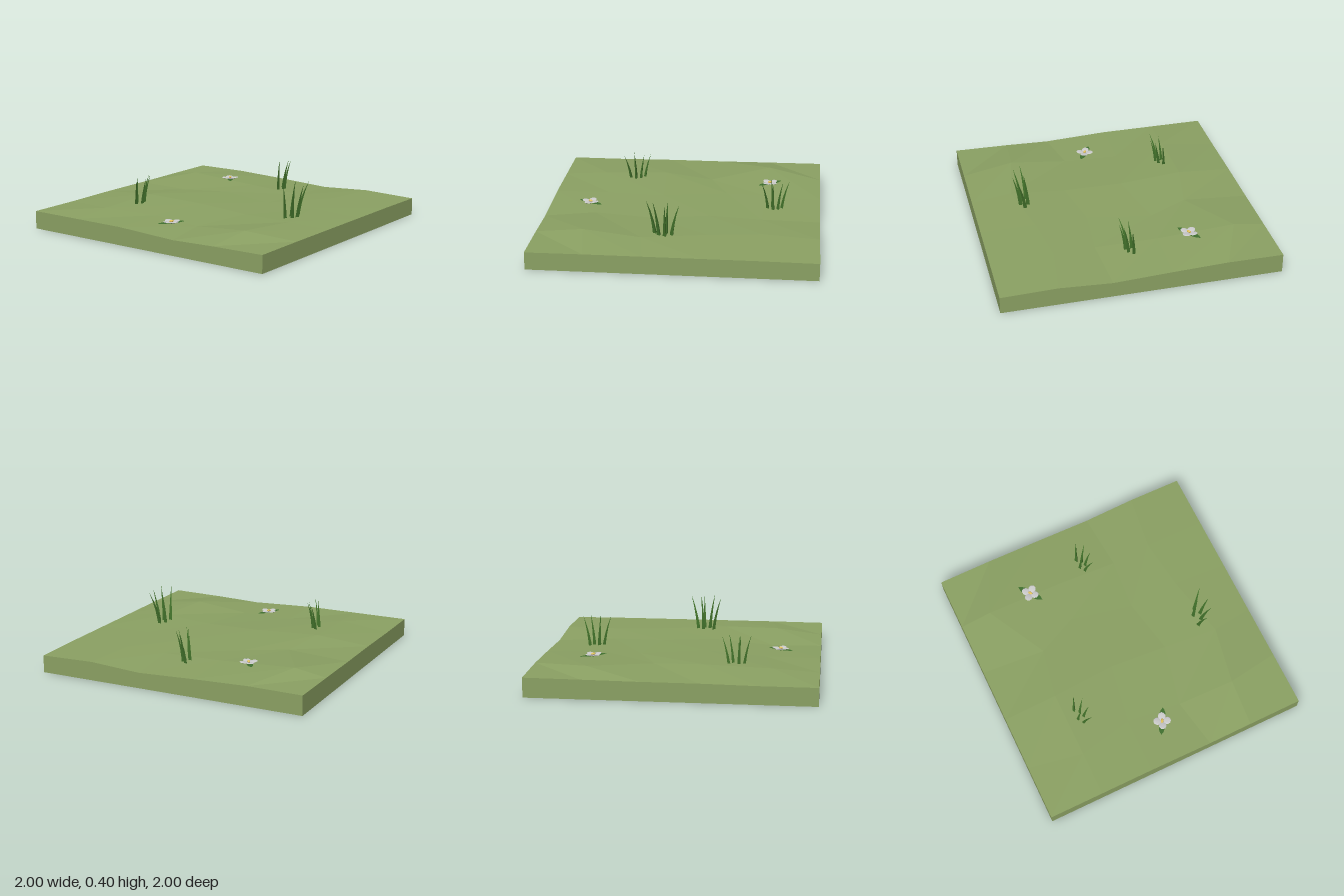
import * as THREE from 'three';

const material = (color) => new THREE.MeshStandardMaterial({
  color, flatShading: true, side: THREE.DoubleSide,
});
const turf = material(0x8ba163), grass = material(0x41702a), leafGreen = material(0x41702f);
const petalGrey = material(0xcccccc), yolk = material(0xe3c35c);

// Jittered 6 x 6 ground grid, rows running back to front: [x, z, height]
const GROUND = [
  [[-1, -1, .14], [-.6, -1, .143], [-.2, -1, .13], [.22, -1, .112], [.6, -1, .135], [1, -1, .125]],
  [[-1, -.6, .138], [-.77, -.6, .175], [-.2, -.6, .145], [.25, -.58, .13], [.55, -.6, .14], [1, -.6, .128]],
  [[-1, -.2, .135], [-.53, -.16, .145], [-.24, -.3, .14], [.22, -.2, .135], [.6, -.22, .14], [1, -.2, .128]],
  [[-1, .2, .135], [-.6, .2, .165], [-.13, .17, .15], [.3, .2, .135], [.7, .24, .145], [1, .2, .128]],
  [[-1, .6, .13], [-.6, .68, .15], [-.2, .6, .135], [.2, .64, .122], [.62, .66, .158], [1, .6, .128]],
  [[-1, 1, .13], [-.6, 1, .13], [-.2, 1, .13], [.27, 1, .11], [.6, 1, .12], [1, 1, .126]],
];

// Flat-faceted ground with straight walls, open underneath
function makeGround() {
  const n = GROUND.length, pos = [], idx = [];
  GROUND.flat().forEach(([x, z, y]) => pos.push(x, y, z));
  for (let r = 0; r < n - 1; r++) {
    for (let c = 0; c < n - 1; c++) {
      const a = r * n + c, b = a + 1, d = a + n, e = d + 1;
      idx.push(a, d, b, b, d, e);
    }
  }
  // Walk the rim counter-clockwise seen from above, dropping each point to y = 0
  const rim = [], m = n - 1;
  for (let i = 0; i < m; i++) rim.push(i * n);
  for (let i = 0; i < m; i++) rim.push(m * n + i);
  for (let i = m; i > 0; i--) rim.push(i * n + m);
  for (let i = m; i > 0; i--) rim.push(i);
  const base = n * n;
  rim.forEach((v) => pos.push(pos[v * 3], 0, pos[v * 3 + 2]));
  rim.forEach((v, i) => {
    const j = (i + 1) % rim.length;
    idx.push(v, base + i, rim[j], rim[j], base + i, base + j);
  });
  const g = new THREE.BufferGeometry();
  g.setAttribute('position', new THREE.Float32BufferAttribute(pos, 3));
  g.setIndex(idx);
  g.computeVertexNormals();
  const mesh = new THREE.Mesh(g, turf);
  mesh.name = 'ground';
  return mesh;
}

// Three-sided blade that tapers and bends from its base to its tip
function makeBlade([bx, bz, tx, tz, height]) {
  const g = new THREE.CylinderGeometry(1, 1, 1, 3, 5, true);
  const p = g.attributes.position;
  for (let i = 0; i < p.count; i++) {
    const t = p.getY(i) + 0.5, bend = t * t;
    const r = 0.016 * (1 - t ** 1.6) + 0.0005;
    p.setXYZ(i,
      p.getX(i) * r + bx + (tx - bx) * bend,
      height * t,
      p.getZ(i) * r + bz + (tz - bz) * bend);
  }
  g.computeVertexNormals();
  const mesh = new THREE.Mesh(g, grass);
  mesh.name = 'blade';
  return mesh;
}

// Base x, z, tip x, z and height of each blade in a tuft
const BLADES = [
  [-.03, -.045, -.005, -.1, .315],
  [0, -.02, .045, -.055, .325],
  [.012, .012, .062, .015, .31],
  [-.01, .045, .045, .1, .315],
  [-.03, .015, -.005, .03, .325],
];

function makeTuft(x, z, scale, flip, y) {
  const tuft = new THREE.Group();
  tuft.name = 'grassTuft';
  BLADES.forEach(([bx, bz, tx, tz, h]) =>
    tuft.add(makeBlade([bx, bz * flip, tx, tz * flip, h])));
  tuft.scale.setScalar(scale);
  tuft.position.set(x, y, z);
  return tuft;
}

// Pointed leaf running along +x, folded slightly up toward its tip
function leafGeometry() {
  const s = new THREE.Shape();
  s.moveTo(0, 0);
  s.quadraticCurveTo(.045, .045, .105, 0);
  s.quadraticCurveTo(.045, -.045, 0, 0);
  const g = new THREE.ShapeGeometry(s, 5).rotateX(-Math.PI / 2);
  const p = g.attributes.position;
  for (let i = 0; i < p.count; i++) p.setY(i, 0.06 * p.getX(i) + 0.15 * Math.abs(p.getZ(i)));
  g.computeVertexNormals();
  return g;
}

// Low flower: stem, two opposite leaves, four round petals and a centre
function makeFlower(x, y, z, angle) {
  const flower = new THREE.Group();
  flower.name = 'flower';
  const add = (name, geo, mat, px, py, pz, ry = 0) => {
    const mesh = new THREE.Mesh(geo, mat);
    mesh.name = name;
    mesh.position.set(px, py, pz);
    mesh.rotation.y = ry;
    flower.add(mesh);
    return mesh;
  };
  add('stem', new THREE.CylinderGeometry(.005, .005, .05, 5), leafGreen, 0, -.012, 0);
  const leaf = leafGeometry();
  for (let i = 0; i < 2; i++) add('leaf', leaf, leafGreen, 0, .004, 0, i * Math.PI);
  const petal = new THREE.SphereGeometry(.03, 10, 6).scale(1.05, .15, .95);
  for (let i = 0; i < 4; i++) {
    const a = i * Math.PI / 2 + 0.15;
    add('petal', petal, petalGrey, Math.cos(a) * .034, .016, -Math.sin(a) * .034, a)
      .rotateZ(0.15);
  }
  add('flowerCentre', new THREE.SphereGeometry(.013, 8, 6).scale(1.4, .6, .8), yolk, 0, .02, 0);
  flower.position.set(x, y, z);
  flower.rotation.y = angle;
  return flower;
}

export function createModel() {
  const model = new THREE.Group();
  model.name = 'grassTile';
  const ground = makeGround();
  model.add(ground);

  model.add(makeTuft(-.495, .415, 1, 1, .03));
  model.add(makeTuft(.03, -.67, 1, 1, .03));
  model.add(makeTuft(.635, .09, 1.18, -1, .015));

  // Flowers sit on the ground surface
  const ray = new THREE.Raycaster();
  for (const [x, z, angle] of [[-.43, -.615, 2.2], [.025, .705, 1.06]]) {
    ray.set(new THREE.Vector3(x, 1, z), new THREE.Vector3(0, -1, 0));
    model.add(makeFlower(x, ray.intersectObject(ground)[0].point.y, z, angle));
  }
  return model;
}
